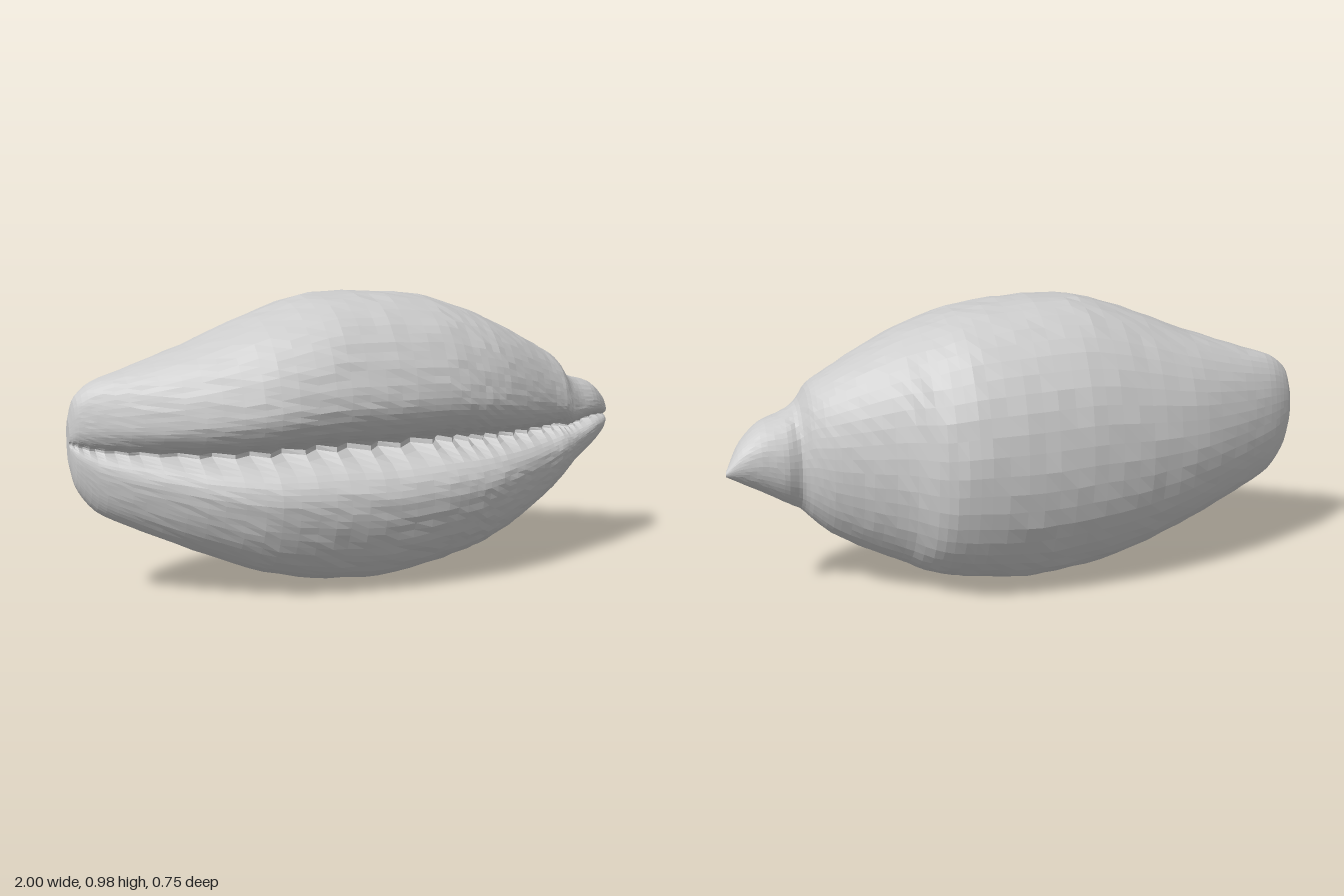
import * as THREE from 'three';

// Stations along the shell: x, top y, bottom y, front z, back z
const STATIONS = [
  [-1.0, 0.61, 0.46, 0.0, -0.05],
  [-0.98, 0.68, 0.38, 0.03, -0.07],
  [-0.92, 0.73, 0.3, 0.07, -0.11],
  [-0.8, 0.77, 0.235, 0.14, -0.17],
  [-0.6, 0.84, 0.145, 0.25, -0.26],
  [-0.4, 0.92, 0.065, 0.335, -0.32],
  [-0.2, 0.98, 0.02, 0.37, -0.36],
  [0.0, 0.985, 0.005, 0.38, -0.38],
  [0.2, 0.965, 0.03, 0.37, -0.38],
  [0.32, 0.93, 0.055, 0.35, -0.35],
  [0.42, 0.89, 0.09, 0.32, -0.27],
  [0.54, 0.83, 0.145, 0.27, -0.21],
  [0.65, 0.77, 0.21, 0.22, -0.16],
  [0.71, 0.73, 0.26, 0.2, -0.12],
  [0.75, 0.67, 0.3, 0.18, -0.085],
  [0.8, 0.645, 0.335, 0.15, -0.095],
  [0.88, 0.62, 0.385, 0.11, -0.085],
  [0.95, 0.56, 0.43, 0.05, -0.075],
  [1.0, 0.485, 0.47, -0.055, -0.065],
];
const SEGMENTS = 72;
const RINGS = 64;

const gauss = (v, width) => Math.exp(-((v / width) ** 2));

// Small repeatable surface unevenness
const ripple = (i, j) => {
  const v = Math.sin(i * 127.1 + j * 311.7) * 43758.5453;
  return v - Math.floor(v) - 0.5;
};

// Kidney section: rounded back, fuller front parted by a toothed slit
function sectionPoint(ring, j, x, top, bottom, front, back) {
  const u = (j / SEGMENTS) * Math.PI * 2 - Math.PI;
  const a = u - 0.6 * Math.sin(u); // finer spacing around the slit
  const s = Math.sin(a);
  const isFront = Math.cos(a) > 0;
  const n = isFront ? 2.5 : 2;
  const midZ = (front + back) / 2;
  const half = (front - back) / 2;
  const reach = half * Math.pow(Math.max(0, 1 - Math.abs(s) ** n), 1 / n);
  let z = midZ + (isFront ? reach : -reach);
  if (isFront) {
    const teeth = 1 + 0.35 * (ring % 2 ? 1 : -1);
    z -= half * (0.27 * gauss(s, 0.19) + 0.25 * gauss(s + 0.02, 0.07) * teeth);
  }
  const bump = ripple(ring, j) * 0.016 * half;
  const y = (top + bottom) / 2 + ((top - bottom) / 2) * s;
  return [x, y + bump * s, z + bump * Math.cos(a)];
}

function shellGeometry() {
  const heights = new THREE.CatmullRomCurve3(
    STATIONS.map(([x, t, b]) => new THREE.Vector3(x, t, b)), false, 'catmullrom', 0.4);
  const depths = new THREE.CatmullRomCurve3(
    STATIONS.map(([x, , , f, b]) => new THREE.Vector3(x, f, b)), false, 'catmullrom', 0.4);

  const positions = [];
  const index = [];
  for (let i = 0; i <= RINGS; i++) {
    const h = heights.getPoint(i / RINGS);
    const d = depths.getPoint(i / RINGS);
    for (let j = 0; j < SEGMENTS; j++) {
      positions.push(...sectionPoint(i, j, h.x, h.y, h.z, d.y, d.z));
    }
  }
  for (let i = 0; i < RINGS; i++) {
    for (let j = 0; j < SEGMENTS; j++) {
      const k = (j + 1) % SEGMENTS;
      const a = i * SEGMENTS + j;
      const b = i * SEGMENTS + k;
      index.push(a, a + SEGMENTS, b, b, a + SEGMENTS, b + SEGMENTS);
    }
  }
  // Close both tips
  for (const ring of [0, RINGS]) {
    const [x, top, bottom, front, back] = STATIONS[ring ? STATIONS.length - 1 : 0];
    const centre = positions.length / 3;
    positions.push(x, (top + bottom) / 2, (front + back) / 2);
    for (let j = 0; j < SEGMENTS; j++) {
      const a = ring * SEGMENTS + j;
      const b = ring * SEGMENTS + ((j + 1) % SEGMENTS);
      if (ring) index.push(centre, b, a);
      else index.push(centre, a, b);
    }
  }
  const geometry = new THREE.BufferGeometry();
  geometry.setAttribute('position', new THREE.Float32BufferAttribute(positions, 3));
  geometry.setIndex(index);
  geometry.computeVertexNormals();
  return geometry;
}

export function createModel() {
  const model = new THREE.Group();
  model.name = 'seashell';
  const material = new THREE.MeshStandardMaterial({
    color: 0xcccccc, flatShading: true, side: THREE.DoubleSide,
  });
  const shell = new THREE.Mesh(shellGeometry(), material);
  shell.name = 'shellBody';
  model.add(shell);
  return model;
}
